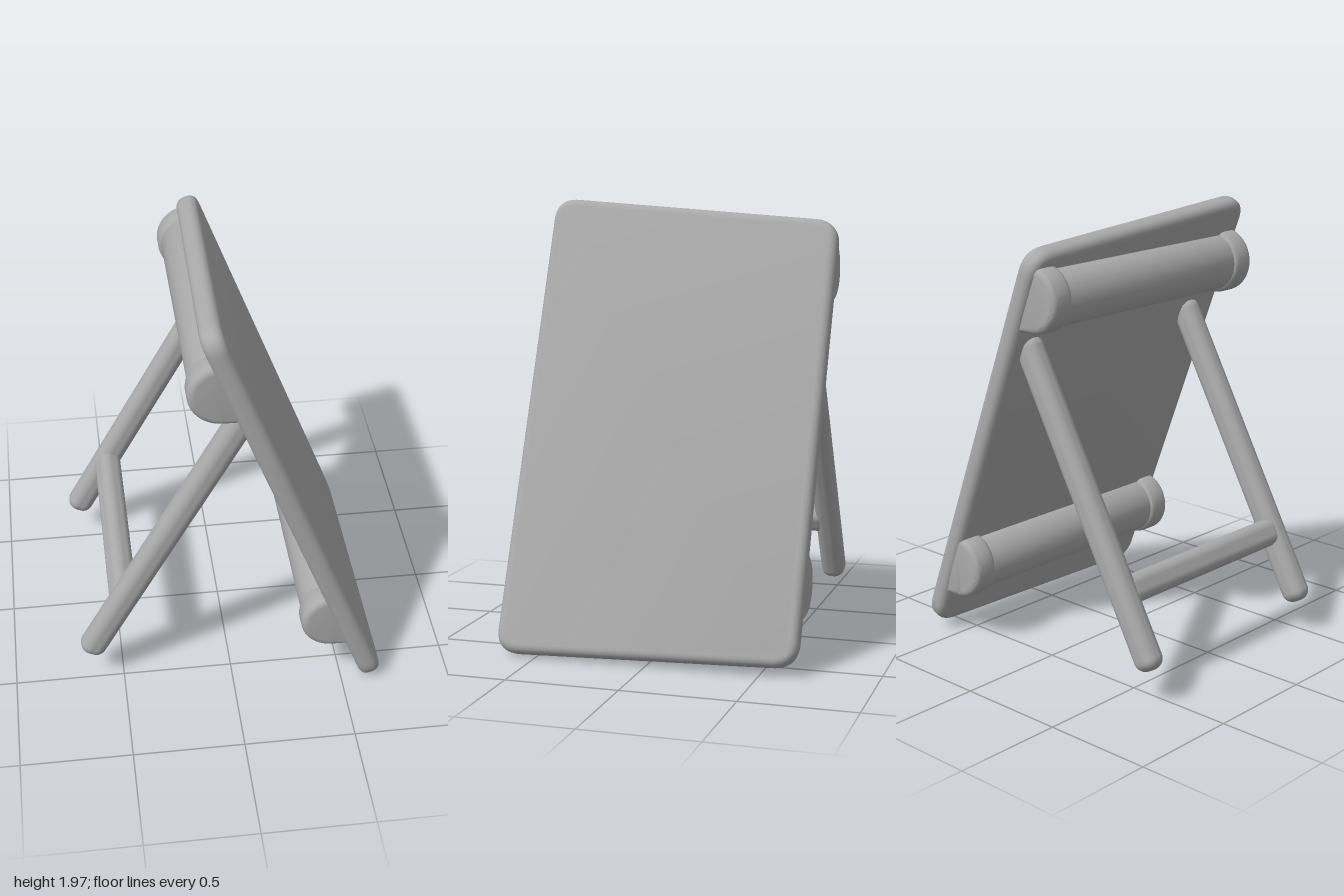
import * as THREE from 'three';
import { toCreasedNormals } from 'three/addons/utils/BufferGeometryUtils.js';
import { RoundedBoxGeometry } from 'three/addons/geometries/RoundedBoxGeometry.js';

const grey = new THREE.MeshStandardMaterial({ color: 0xaaaaaa });
grey.name = 'grey';

const TILT = Math.atan(0.388);

function add(group, name, geometry) {
  const mesh = new THREE.Mesh(geometry, grey);
  mesh.name = name;
  group.add(mesh);
  return mesh;
}

// Closed outline with every corner rounded by r
function roundedPolygon(corners, r) {
  const shape = new THREE.Shape();
  corners.forEach((c, i) => {
    const p = new THREE.Vector2(...c);
    const prev = new THREE.Vector2(...corners.at(i - 1));
    const next = new THREE.Vector2(...corners[(i + 1) % corners.length]);
    const a = prev.sub(p).setLength(r).add(p);
    const b = next.sub(p).setLength(r).add(p);
    if (i === 0) shape.moveTo(a.x, a.y);
    else shape.lineTo(a.x, a.y);
    shape.quadraticCurveTo(p.x, p.y, b.x, b.y);
  });
  shape.closePath();
  return shape;
}

// Extrusion with soft edges that keeps the outline size and total depth
function softExtrude(shape, depth, bevel) {
  const geometry = new THREE.ExtrudeGeometry(shape, {
    depth: depth - 2 * bevel, bevelThickness: bevel, bevelSize: bevel,
    bevelOffset: -bevel, bevelSegments: 5, curveSegments: 14,
  });
  geometry.translate(0, 0, bevel);
  return toCreasedNormals(geometry, 0.7);
}

// Half-round rail behind the board, with a flat underside running into it
function rail(group, name, cx, cy) {
  const section = (r) => {
    const s = new THREE.Shape();
    s.absarc(cx, cy, r, Math.PI * 0.47, Math.PI * 1.5, false);
    s.lineTo(cx + 0.085, cy - r);
    s.closePath();
    return s;
  };
  const part = new THREE.Group();
  part.name = name;
  add(part, 'railBar', softExtrude(section(0.134), 1.2, 0.01)).position.z = -0.605;
  for (const z of [-0.66, 0.525]) {
    add(part, 'railEnd', softExtrude(section(0.148), 0.12, 0.03)).position.z = z;
  }
  group.add(part);
}

export function createModel() {
  const model = new THREE.Group();
  model.name = 'easelStand';

  // Leaning board, slightly shorter on one side
  const outline = roundedPolygon(
    [[-0.685, -1.035], [0.665, -0.995], [0.68, 0.975], [-0.665, 1.078]], 0.11);
  const board = softExtrude(outline, 0.098, 0.038);
  board.translate(0, 0, -0.098);
  board.rotateY(Math.PI / 2);
  board.rotateZ(TILT);
  add(model, 'board', board).position.set(0.322, 1, 0);

  // Rails across the back of the board
  rail(model, 'topRail', -0.055, 1.685);
  rail(model, 'bottomRail', 0.455, 0.367);

  // Pair of rear legs
  const foot = new THREE.Vector2(-0.655, 0.165);
  const top = new THREE.Vector2(0.075, 1.49);
  const lean = -Math.atan2(top.x - foot.x, top.y - foot.y);
  const legZ = [-0.555, 0.475];
  for (const z of legZ) {
    const leg = add(model, 'rearLeg',
      new RoundedBoxGeometry(0.122, foot.distanceTo(top), 0.112, 5, 0.05));
    leg.position.set((foot.x + top.x) / 2, (foot.y + top.y) / 2, z);
    leg.rotation.z = lean;
  }

  // Crossbar joining the legs
  const bar = add(model, 'crossbar',
    new RoundedBoxGeometry(0.11, 0.125, legZ[1] - legZ[0], 5, 0.045));
  bar.position.set(-0.487, 0.47, (legZ[0] + legZ[1]) / 2);
  bar.rotation.z = lean;

  return model;
}
